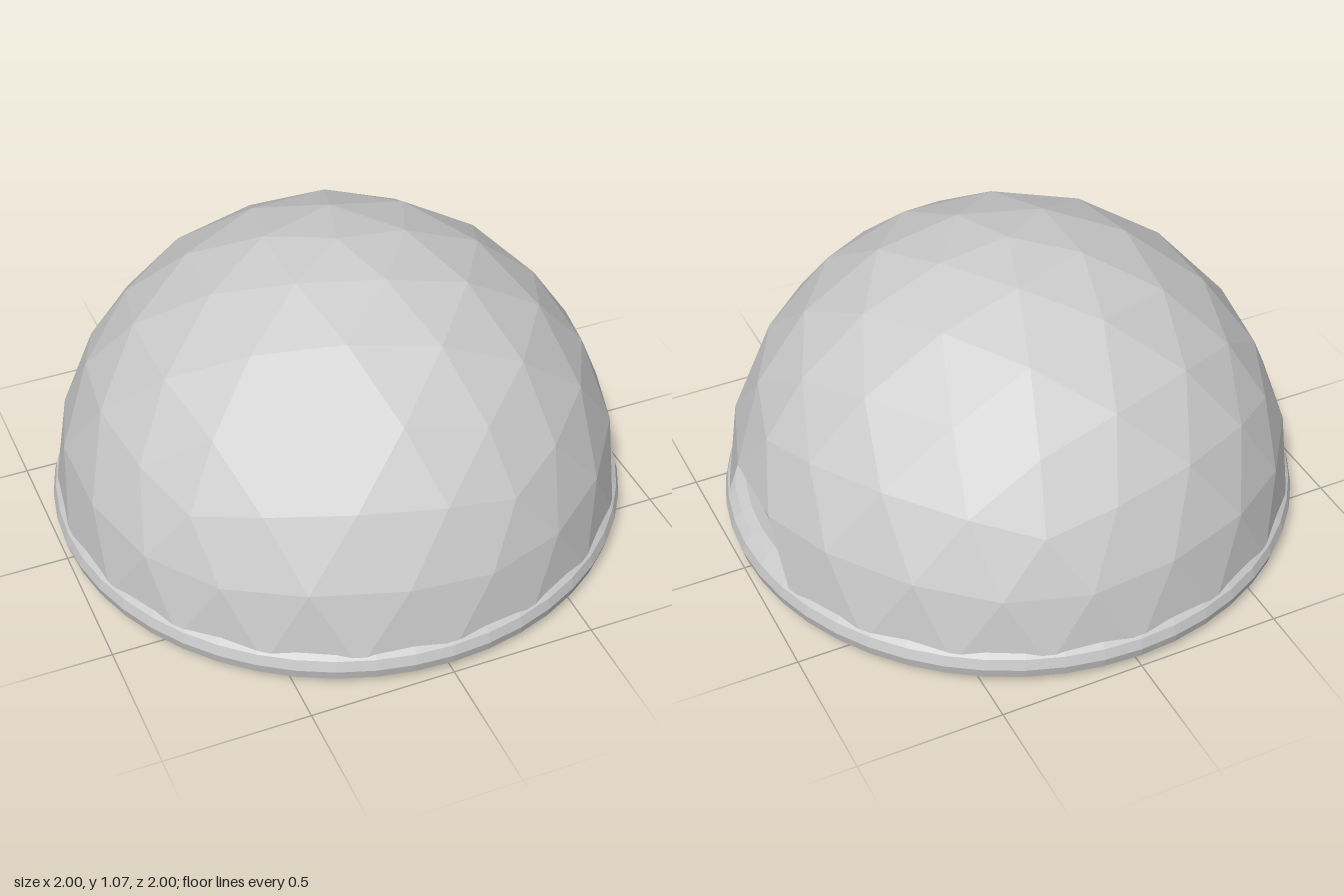
import * as THREE from 'three';

const BASE_Y = 0.082;   // height of the dome's equator

// Upper half of a subdivided icosahedron, with a doorway left out on the +x side
function domeGeometry(radius, detail) {
  const corners = [0, 1, 0];
  const ring = (y, offset) => {
    for (let i = 0; i < 5; i++) {
      const a = (i + offset) * Math.PI * 0.4;
      corners.push(2 * Math.cos(a) / Math.sqrt(5), y, 2 * Math.sin(a) / Math.sqrt(5));
    }
  };
  ring(1 / Math.sqrt(5), 0);
  ring(-1 / Math.sqrt(5), 0.5);
  const faces = [];
  for (let i = 0; i < 5; i++) {
    const u = 1 + i, uNext = 1 + (i + 1) % 5, l = 6 + i, lPrev = 6 + (i + 4) % 5;
    faces.push(0, uNext, u, u, uNext, l, u, l, lPrev);
  }
  const p = new THREE.PolyhedronGeometry(corners, faces, 1, detail).attributes.position;
  const kept = [];
  const tri = new THREE.Triangle(), c = new THREE.Vector3();
  for (let i = 0; i < p.count; i += 3) {
    tri.setFromAttributeAndIndices(p, i, i + 1, i + 2).getMidpoint(c);
    const inDoor = c.x > 0 && Math.abs(c.z) < 0.2 && c.y < 0.25;
    if (c.y > 0 && !inDoor) {
      for (const v of [tri.a, tri.b, tri.c]) kept.push(v.x * radius, v.y * radius, v.z * radius);
    }
  }
  const g = new THREE.BufferGeometry();
  g.setAttribute('position', new THREE.Float32BufferAttribute(kept, 3));
  g.computeVertexNormals();
  return g;
}

export function createModel() {
  const group = new THREE.Group();
  group.name = 'domeShelter';
  const solid = new THREE.MeshStandardMaterial({ color: 0xcccccc, flatShading: true });
  const thin = new THREE.MeshStandardMaterial({ color: 0xcccccc, flatShading: true, side: THREE.DoubleSide });

  const add = (name, geometry, material, y) => {
    const mesh = new THREE.Mesh(geometry, material);
    mesh.name = name;
    mesh.position.y = y;
    group.add(mesh);
  };

  // Finely faceted outer shell and coarser lining inside it
  add('outerDome', domeGeometry(0.988, 3), thin, BASE_Y);
  add('innerDome', domeGeometry(0.94, 1), thin, BASE_Y);

  // Rounded ring the dome stands on
  add('baseRing', new THREE.TorusGeometry(0.925, 0.075, 12, 48).rotateX(-Math.PI / 2), solid, 0.075);

  return group;
}
